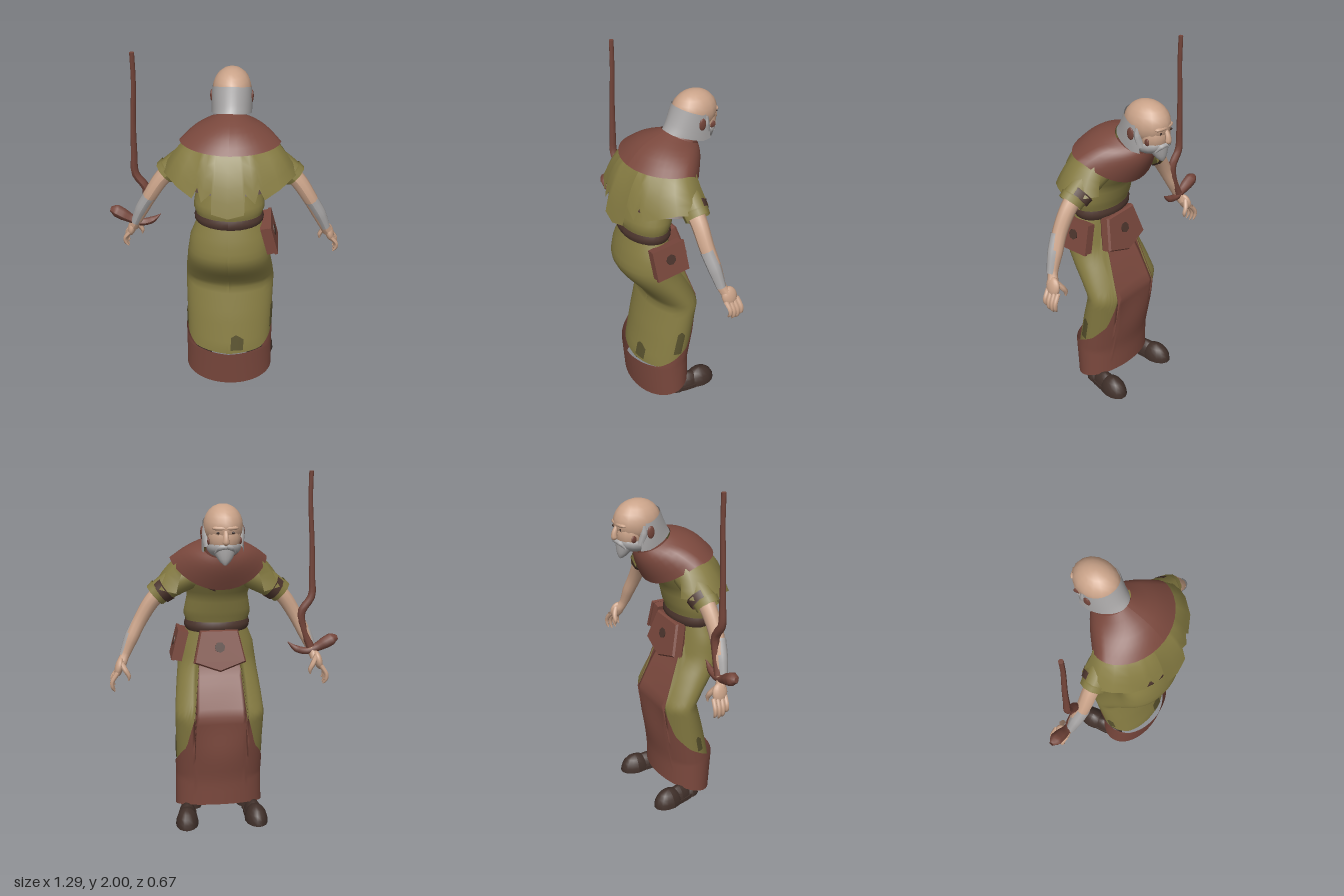
import * as THREE from 'three';

const paint = (name, color) => {
  const m = new THREE.MeshStandardMaterial({ color, side: THREE.DoubleSide });
  m.name = name;
  return m;
};

export function createModel() {
  const olive = paint('olive cloth', 0x857b42), russet = paint('russet cloth', 0x7a483d);
  const dark = paint('dark leather', 0x4c352d), black = paint('boot leather', 0x40302a);
  const skin = paint('skin', 0xcaa389), grey = paint('grey hair', 0xa8a6a6);
  const wood = paint('wood', 0x74453a), shade = paint('worn cloth', 0x57502d);

  const root = new THREE.Group();
  root.name = 'oldManWithStaff';
  const body = new THREE.Group();
  body.name = 'body';
  body.position.x = 0.03;
  root.add(body);

  const add = (name, geo, mat, pos = [0, 0, 0], rot = [0, 0, 0], parent = body) => {
    const m = new THREE.Mesh(geo, mat);
    m.name = name;
    m.position.set(...pos);
    m.rotation.set(...rot);
    parent.add(m);
    return m;
  };

  // Grid surface from a rule f(u, v) -> [x, y, z]
  const patch = (name, mat, nu, nv, f) => {
    const pos = [], idx = [];
    for (let j = 0; j <= nv; j++) for (let i = 0; i <= nu; i++) pos.push(...f(i / nu, j / nv));
    for (let j = 0; j < nv; j++) for (let i = 0; i < nu; i++) {
      const a = j * (nu + 1) + i, b = a + nu + 1;
      idx.push(a, a + 1, b, a + 1, b + 1, b);
    }
    const g = new THREE.BufferGeometry();
    g.setAttribute('position', new THREE.Float32BufferAttribute(pos, 3));
    g.setIndex(idx);
    g.computeVertexNormals();
    return add(name, g, mat);
  };

  // Tapered tube through points [x, y, z, radius]
  const limb = (name, mat, pts, sides = 8, parent = body) => {
    const n = pts.length * 4;
    const c = new THREE.CatmullRomCurve3(pts.map(p => new THREE.Vector3(p[0], p[1], p[2])));
    const g = new THREE.TubeGeometry(c, n, 1, sides), p = g.attributes.position, v = new THREE.Vector3();
    for (let i = 0; i <= n; i++) {
      const ctr = c.getPointAt(i / n), t = c.getUtoTmapping(i / n) * (pts.length - 1);
      const k = Math.min(Math.floor(t), pts.length - 2);
      const r = THREE.MathUtils.lerp(pts[k][3], pts[k + 1][3], t - k);
      for (let j = 0; j <= sides; j++) {
        const q = i * (sides + 1) + j;
        v.fromBufferAttribute(p, q).sub(ctr).multiplyScalar(r).add(ctr);
        p.setXYZ(q, v.x, v.y, v.z);
      }
    }
    g.computeVertexNormals();
    return add(name, g, mat, [0, 0, 0], [0, 0, 0], parent);
  };

  const blob = (name, mat, pos, r, rot) =>
    add(name, new THREE.SphereGeometry(1, 16, 12).scale(...r), mat, pos, rot);

  // Linear lookup in rows sorted by their first entry
  const look = (rows, x) => {
    let k = 0;
    while (k < rows.length - 2 && x > rows[k + 1][0]) k++;
    const t = THREE.MathUtils.clamp((x - rows[k][0]) / (rows[k + 1][0] - rows[k][0]), 0, 1);
    return rows[k].map((a, i) => a + (rows[k + 1][i] - a) * t);
  };
  // Point on a body section; angle 0 is the face side (-z)
  const around = (rows, phi, y, off = 0) => {
    const [, zb, zf, hw] = look(rows, y);
    return [(hw + off) * Math.sin(phi), y, (zb + zf) / 2 - ((zb - zf) / 2 + off) * Math.cos(phi)];
  };
  const lerp = THREE.MathUtils.lerp, PI = Math.PI;

  // Robe skirt with russet apron and hem: rows are y, back z, face-side z, half width
  const skirt = [[0, 0.21, -0.09, 0.25], [0.25, 0.21, -0.09, 0.245], [0.45, 0.165, -0.12, 0.25],
    [0.65, 0.11, -0.142, 0.255], [0.74, 0.175, -0.1, 0.247], [0.82, 0.24, -0.06, 0.238],
    [0.88, 0.28, -0.025, 0.23], [0.93, 0.298, 0, 0.225], [1.03, 0.28, 0.02, 0.21], [1.13, 0.25, 0.03, 0.17]];
  const trim = [[0, 1.12], [32, 1.12], [36, 0.64], [50, 0.46], [75, 0.37], [95, 0.33], [130, 0.26], [180, 0.24]];
  const trimTop = phi => look(trim, Math.abs(phi) * 180 / PI)[1];
  patch('skirt', olive, 90, 24, (u, v) => {
    const phi = (u * 2 - 1) * PI;
    return around(skirt, phi, lerp(trimTop(phi) - 0.02, 1.13, v));
  });
  // The apron hangs flat between the thighs
  patch('apronAndHem', russet, 90, 24, (u, v) => {
    const phi = (u * 2 - 1) * PI, y = lerp(0.05 + 0.05 * Math.cos(phi), trimTop(phi), v);
    const flat = 0.028 * Math.max(0, 1 - (phi / 0.6) ** 2) * THREE.MathUtils.smoothstep(y, 0.35, 0.65);
    const p = around(skirt, phi, y, 0.006 + 0.024 * v * Math.max(0, -Math.cos(phi)));
    p[2] += flat;
    return p;
  });
  // Worn streaks on the skirt
  const streak = (a, w, y0, y1) => patch('wornPatch', shade, 6, 4, (u, v) =>
    around(skirt, a + (u - 0.5) * w, lerp(y0, y1 - 0.05 * Math.abs(u - 0.6), v), 0.005));
  streak(PI - 0.21, 0.3, 0.25, 0.35);
  streak(1.75, 0.3, 0.34, 0.5);
  streak(-1.75, 0.25, 0.34, 0.45);

  // Torso and belt
  const torso = [[1.1, 0.25, 0.02, 0.17], [1.16, 0.25, 0.02, 0.175], [1.21, 0.262, 0, 0.192],
    [1.32, 0.23, -0.03, 0.172], [1.42, 0.21, -0.09, 0.19], [1.52, 0.16, -0.13, 0.19]];
  patch('torso', olive, 32, 14, (u, v) => around(torso, (u * 2 - 1) * PI, lerp(1.12, 1.52, v)));
  patch('belt', dark, 32, 3, (u, v) => around(torso, (u * 2 - 1) * PI, 1.11 + 0.06 * v, 0.012 * Math.sin(v * PI) + 0.003));
  patch('chestTear', dark, 8, 2, (u, v) =>
    around(torso, lerp(0.15, 0.75, u), lerp(1.365 + 0.05 * u, 1.45, v), 0.005));

  // Ragged shoulder mantle: columns are bottom xyz, then top xyz
  const half = [[0, 1.23, 0.33, 0, 1.57, 0.165], [0.085, 1.25, 0.318, 0.05, 1.57, 0.16], [0.088, 1.36, 0.29, 0.06, 1.57, 0.155],
    [0.14, 1.3, 0.285, 0.09, 1.57, 0.145], [0.16, 1.375, 0.26, 0.11, 1.57, 0.135], [0.19, 1.31, 0.26, 0.13, 1.565, 0.125],
    [0.27, 1.35, 0.215, 0.165, 1.565, 0.09], [0.33, 1.375, 0.14, 0.195, 1.565, 0.055], [0.37, 1.365, 0.05, 0.21, 1.565, 0.015],
    [0.33, 1.38, -0.05, 0.205, 1.55, -0.05], [0.24, 1.36, -0.07, 0.19, 1.5, -0.08]];
  const cols = [...half.slice(1).reverse().map(c => c.map((a, i) => i % 3 ? a : -a)), ...half];
  patch('mantle', olive, cols.length - 1, 5, (u, v) => {
    const c = cols[Math.round(u * (cols.length - 1))], b = 0.018 * Math.sin(v * PI);
    return [lerp(c[0], c[3], v) * (1 + 0.5 * b), lerp(c[1], c[4], v) + b, lerp(c[2], c[5], v) + b * 0.9];
  });
  patch('mantleLining', dark, 20, 3, (u, v) => {
    const a = (u * 2 - 1) * 1.5;
    return [lerp(0.3, 0.17, v) * Math.sin(a), lerp(1.32, 1.5, v), 0.02 * (1 - v) + lerp(0.235, 0.15, v) * Math.cos(a)];
  });

  // Russet cowl, tilted toward the face side and pointed at the back
  patch('cowl', russet, 36, 6, (u, v) => {
    const phi = (u * 2 - 1) * PI, c = Math.cos(phi), f = Math.max(0, c), s = Math.sin(phi);
    const b = 0.02 * Math.sin(v * PI), rim = c < 0 ? 0.035 + 0.19 * (-c) ** 1.15 : 0.035 - 0.175 * c;
    return [lerp(0.268, 0.1, v) * s, lerp(1.54 - 0.15 * f ** 1.5, 1.62 - 0.05 * c, v) + b,
      lerp(rim, -0.1 - 0.095 * c, v) - b * c];
  });
  limb('collar', russet, [[0, 1.52, -0.07, 0.1], [0, 1.6, -0.12, 0.085], [0, 1.65, -0.15, 0.07]], 14);

  // Head
  blob('skull', skin, [0, 1.743, -0.188], [0.104, 0.113, 0.13]);
  blob('face', skin, [0, 1.69, -0.235], [0.086, 0.095, 0.078]);
  blob('brow', skin, [0, 1.744, -0.292], [0.068, 0.016, 0.025]);
  limb('nose', skin, [[0, 1.735, -0.305, 0.01], [0, 1.7, -0.32, 0.015], [0, 1.672, -0.322, 0.018], [0, 1.66, -0.312, 0.002]]);
  patch('hair', grey, 24, 6, (u, v) => {
    const phi = lerp(70, 290, u) * PI / 180, back = Math.max(0, -Math.cos(phi));
    return [lerp(0.11, 0.105, v ** 2) * Math.sin(phi), lerp(1.61 + 0.055 * back, 1.755 + 0.04 * back, v),
      -0.17 - lerp(0.165, 0.103, v ** 0.8) * Math.cos(phi)];
  });
  // Full beard over the jaw, with a pointed chin
  blob('beardJaw', grey, [0, 1.638, -0.222], [0.09, 0.056, 0.09], [0.2, 0, 0]);
  patch('beardPoint', grey, 16, 5, (u, v) => {
    const phi = (u * 2 - 1) * PI;
    return [lerp(0.008, 0.07, v ** 0.7) * Math.sin(phi), lerp(1.553, 1.64, v),
      lerp(-0.288, -0.25, v) - lerp(0.008, 0.058, v ** 0.7) * Math.cos(phi)];
  });
  for (const s of [-1, 1]) {
    limb('moustache', grey, [[0, 1.652, -0.315, 0.012], [s * 0.03, 1.645, -0.304, 0.014], [s * 0.052, 1.618, -0.285, 0.004]], 6);
    limb('sideburn', grey, [[s * 0.092, 1.745, -0.2, 0.012], [s * 0.092, 1.7, -0.2, 0.02], [s * 0.083, 1.64, -0.215, 0.02]], 8);
    blob('eye', black, [s * 0.034, 1.722, -0.304], [0.015, 0.007, 0.004], [0, s * 0.4, 0]);
    blob('ear', wood, [s * 0.108, 1.705, -0.168], [0.009, 0.034, 0.021]);
    blob('cheekMark', wood, [s * 0.08, 1.674, -0.25], [0.008, 0.02, 0.02], [0, s * -0.3, 0]);
  }

  // Sleeves, arms, hands and boots
  for (const s of [-1, 1]) {
    const mir = pts => pts.map(([x, ...r]) => [s * x, ...r]);
    limb('sleeve', olive, mir([[0.15, 1.45, 0.015, 0.075], [0.25, 1.405, 0.02, 0.076], [0.35, 1.338, 0.03, 0.064]]), 10);
    limb('sleeveCuff', olive, mir([[0.322, 1.362, 0.028, 0.071], [0.352, 1.335, 0.03, 0.067]]), 10);
    limb('sleeveTear', dark, mir([[0.285, 1.378, 0.01, 0.071], [0.32, 1.352, 0.015, 0.066]]), 10);
    limb('arm', skin, mir([[0.26, 1.4, 0.025, 0.05], [0.36, 1.315, 0.03, 0.045], [0.435, 1.2, 0.03, 0.04],
      [0.486, 1.1, 0.015, 0.037], [0.53, 1, 0, 0.026], [0.55, 0.96, -0.02, 0.03]]), 10);
    limb('forearmWrap', grey, mir([[0.444, 1.19, 0.036, 0.038], [0.493, 1.1, 0.021, 0.036], [0.535, 1.0, 0.005, 0.026]]), 10);
    blob('palm', skin, [s * 0.562, 0.945, -0.03], [0.024, 0.055, 0.045], [0.15, 0, s * 0.25]);
    for (let i = 0; i < 4; i++) {
      const z = -0.002 - i * 0.024, len = [0.8, 0.97, 1, 0.9][i];
      limb('finger', skin, mir([[0.57, 0.925, z, 0.014], [0.602, 0.925 - 0.055 * len, z - 0.008, 0.013],
        [0.602, 0.925 - 0.09 * len, z - 0.008, 0.011], [0.59, 0.925 - 0.115 * len, z - 0.005, 0.004]]), 6);
    }
    limb('thumb', skin, mir([[0.55, 0.97, -0.045, 0.016], [0.525, 0.93, -0.067, 0.015], [0.51, 0.9, -0.07, 0.012], [0.512, 0.875, -0.07, 0.004]]), 6);

    const boot = new THREE.Group();
    boot.name = 'boot';
    boot.position.set(s * 0.19, 0, 0);
    boot.rotation.y = -s * 0.1;
    body.add(boot);
    const foot = (name, z, r) => {
      const g = new THREE.SphereGeometry(1, 14, 10).scale(...r), p = g.attributes.position;
      for (let i = 0; i < p.count; i++) p.setY(i, Math.max(p.getY(i), 0));
      g.computeVertexNormals();
      add(name, g, black, [0, 0.004, z], [0, 0, 0], boot);
    };
    foot('bootToe', -0.125, [0.066, 0.098, 0.095]);
    foot('bootMiddle', -0.05, [0.052, 0.09, 0.1]);
    foot('bootHeel', 0.03, [0.05, 0.06, 0.06]);
    add('sole', new THREE.CylinderGeometry(1, 1, 0.025, 16).scale(0.055, 1, 0.15), black, [0, 0.013, -0.065], [0, 0, 0], boot);
    add('bootShaft', new THREE.CylinderGeometry(0.045, 0.045, 0.13, 12), black, [-s * 0.035, 0.1, 0.035], [0, 0, 0], boot);
  }

  // Side pouch hanging from the belt
  const side = new THREE.Group();
  side.name = 'sidePouch';
  side.position.set(0.215, 1.03, 0.12);
  side.rotation.set(0.06, 0, 0.25);
  body.add(side);
  add('pouchBag', new THREE.BoxGeometry(0.05, 0.17, 0.185), russet, [0, 0, 0], [0, 0, 0], side);
  add('pouchFlap', new THREE.BoxGeometry(0.018, 0.175, 0.2), russet, [0.026, 0, 0], [0, 0, 0], side);
  add('pouchClasp', new THREE.CylinderGeometry(0.03, 0.03, 0.006, 7), dark, [0.037, 0.01, 0], [0, 0, PI / 2], side);

  // Large pointed pouch on the apron
  const outline = new THREE.Shape([[-0.1, 0.1], [0.1, 0.1], [0.138, -0.07], [0, -0.12], [-0.138, -0.07]].map(p => new THREE.Vector2(...p)));
  const big = new THREE.Group();
  big.name = 'frontPouch';
  big.position.set(0, 1.02, -0.005);
  big.rotation.x = 0.28;
  body.add(big);
  add('pouchBag', new THREE.ExtrudeGeometry(outline, { depth: 0.045, bevelSize: 0.008, bevelThickness: 0.012, bevelSegments: 1 }),
    russet, [0, 0, -0.025], [0, 0, 0], big);
  add('pouchClasp', new THREE.CylinderGeometry(0.03, 0.03, 0.006, 7), dark, [0, 0.01, -0.039], [PI / 2, 0, 0], big);

  // Crooked staff with a root-like foot
  limb('staff', wood, [[-0.47, 2, 0, 0.013], [-0.47, 1.85, 0, 0.013], [-0.485, 1.6, 0, 0.015], [-0.49, 1.42, 0, 0.018],
    [-0.49, 1.31, 0, 0.022], [-0.435, 1.22, 0, 0.024], [-0.45, 1.12, -0.005, 0.02], [-0.49, 1.02, -0.01, 0.024]], 7, root);
  limb('staffRoot', wood, [[-0.645, 1.07, -0.01, 0.014], [-0.615, 1.062, -0.01, 0.036], [-0.575, 1.04, -0.008, 0.035],
    [-0.53, 1.015, -0.006, 0.026], [-0.47, 0.995, -0.005, 0.022], [-0.41, 1.01, -0.005, 0.02], [-0.36, 1.05, -0.005, 0.002]], 7, root);
  add('staffTip', new THREE.CylinderGeometry(0.013, 0.013, 0.004, 7), wood, [-0.47, 1.998, 0], [0, 0, 0], root);
  return root;
}
